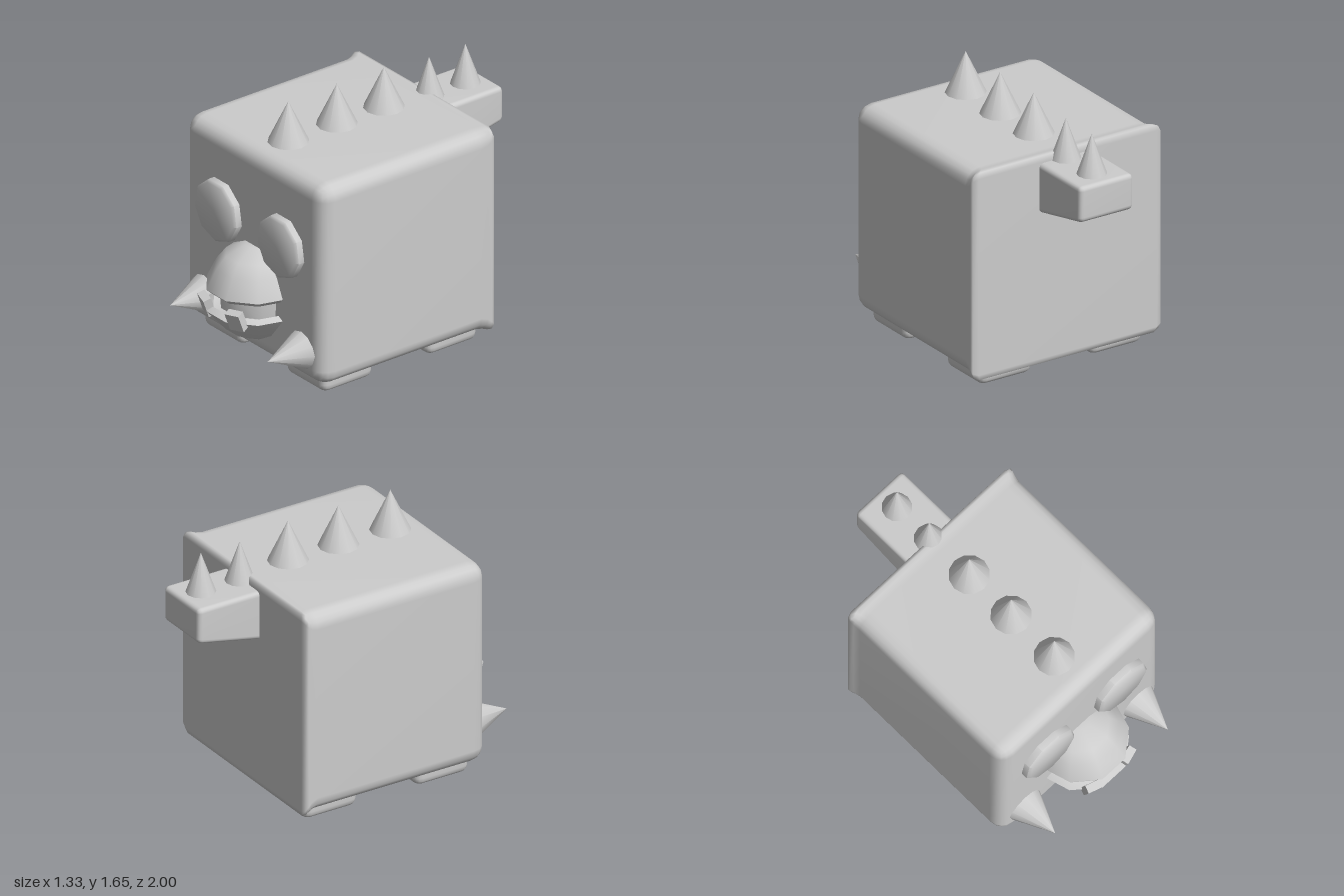
import * as THREE from 'three';
import { mergeVertices, toCreasedNormals } from 'three/addons/utils/BufferGeometryUtils.js';
import { RoundedBoxGeometry } from 'three/addons/geometries/RoundedBoxGeometry.js';

const grey = new THREE.MeshStandardMaterial({ color: 0xcccccc });
grey.name = 'grey';

// Rounded box from min to max corner, optionally reshaped, with soft shared normals
function softBox(min, max, radius, reshape) {
  const size = max.map((v, i) => v - min[i]);
  let geo = new RoundedBoxGeometry(...size, 2, radius);
  geo.translate(...max.map((v, i) => (v + min[i]) / 2));
  geo.deleteAttribute('normal');
  geo.deleteAttribute('uv');
  geo.clearGroups();
  geo = mergeVertices(geo, 1e-4);
  if (reshape) {
    const p = geo.attributes.position, v = new THREE.Vector3();
    for (let i = 0; i < p.count; i++) {
      reshape(v.fromBufferAttribute(p, i));
      p.setXYZ(i, v.x, v.y, v.z);
    }
  }
  geo.computeVertexNormals();
  return geo;
}

// Ten-sided lathe, slightly deeper than wide, with a corner at each side
function mouthLathe(profile, crease) {
  const pts = profile.map(([r, y]) => new THREE.Vector2(r, y));
  const geo = new THREE.LatheGeometry(pts, 10, Math.PI / 2);
  geo.scale(1, 1, 1.12);
  return toCreasedNormals(geo, crease);
}

export function createModel() {
  const model = new THREE.Group();
  model.name = 'blockCreature';

  function add(name, geo, x = 0, y = 0, z = 0) {
    const mesh = new THREE.Mesh(geo, grey);
    mesh.name = name;
    mesh.position.set(x, y, z);
    model.add(mesh);
    return mesh;
  }

  // Body: wide rounding in front, much tighter edge around the back
  const midY = 0.735;
  add('body', softBox([-0.655, 0.08, -0.575], [0.655, 1.39, 0.71], 0.1, (v) => {
    const t = THREE.MathUtils.clamp((-0.475 - v.z) / 0.1, 0, 1);
    const s = 1 + 0.13 * t * t;
    v.x *= s;
    v.y = midY + (v.y - midY) * s;
  }));

  // Feet
  for (const side of [-1, 1]) {
    for (const [name, z] of [['frontFoot', 0.445], ['backFoot', -0.33]]) {
      add(name, softBox([-0.188, 0, -0.188], [0.188, 0.16, 0.188], 0.05), side * 0.388, 0, z);
    }
  }

  // Tail: underside rises toward the tip
  add('tail', softBox([-0.18, 1.03, -1], [0.2, 1.355, -0.53], 0.03, (v) => {
    if (v.y < 1.2) v.y += 0.1 * (-0.53 - v.z) / 0.47;
  }));

  // Spikes along the back and the tail
  for (const z of [0.46, 0.1, -0.25]) {
    add('backSpike', new THREE.ConeGeometry(0.128, 0.27, 12), 0.02, 1.515, z);
  }
  for (const z of [-0.585, -0.855]) {
    add('tailSpike', new THREE.ConeGeometry(0.096, 0.27, 12), 0.02, 1.475, z);
  }

  for (const side of [-1, 1]) {
    // Cheek spikes point forward
    const spike = add('cheekSpike', new THREE.ConeGeometry(0.128, 0.27, 12), side * 0.46, 0.275, 0.825);
    spike.rotation.x = Math.PI / 2;

    // Eyes: nine-sided discs with a small front bevel
    const disc = [[0, -0.04], [0.197, -0.04], [0.197, 0.04], [0.18, 0.055], [0, 0.055]];
    const eyeGeo = new THREE.LatheGeometry(disc.map(([r, y]) => new THREE.Vector2(r, y)), 9);
    const eye = add('eye', toCreasedNormals(eyeGeo, 0.9), side * 0.295, 0.893, 0.71);
    eye.rotation.x = Math.PI / 2;
  }

  // Snout, mouth filling and lower jaw
  add('snout', mouthLathe([
    [0, 0.5], [0.27, 0.5], [0.3, 0.53], [0.245, 0.65], [0.19, 0.725], [0.08, 0.78], [0, 0.78],
  ], 0.9), 0, 0, 0.66);
  add('mouthInside', mouthLathe([[0, 0.36], [0.24, 0.36], [0.245, 0.52], [0, 0.52]], 0.7), 0, 0, 0.63);
  add('lowerJaw', mouthLathe([
    [0, 0.19], [0.09, 0.19], [0.19, 0.25], [0.3, 0.39], [0.26, 0.41], [0.22, 0.39], [0, 0.39],
  ], 0.7), 0, 0, 0.66);

  // Lower teeth lean forward and follow the curve of the jaw
  for (const side of [-1, 1]) {
    const tooth = add('tooth', new THREE.BoxGeometry(0.1, 0.12, 0.05), side * 0.14, 0.41, 0.94);
    tooth.rotation.set(0.35, side * 0.3, 0);
  }

  return model;
}
